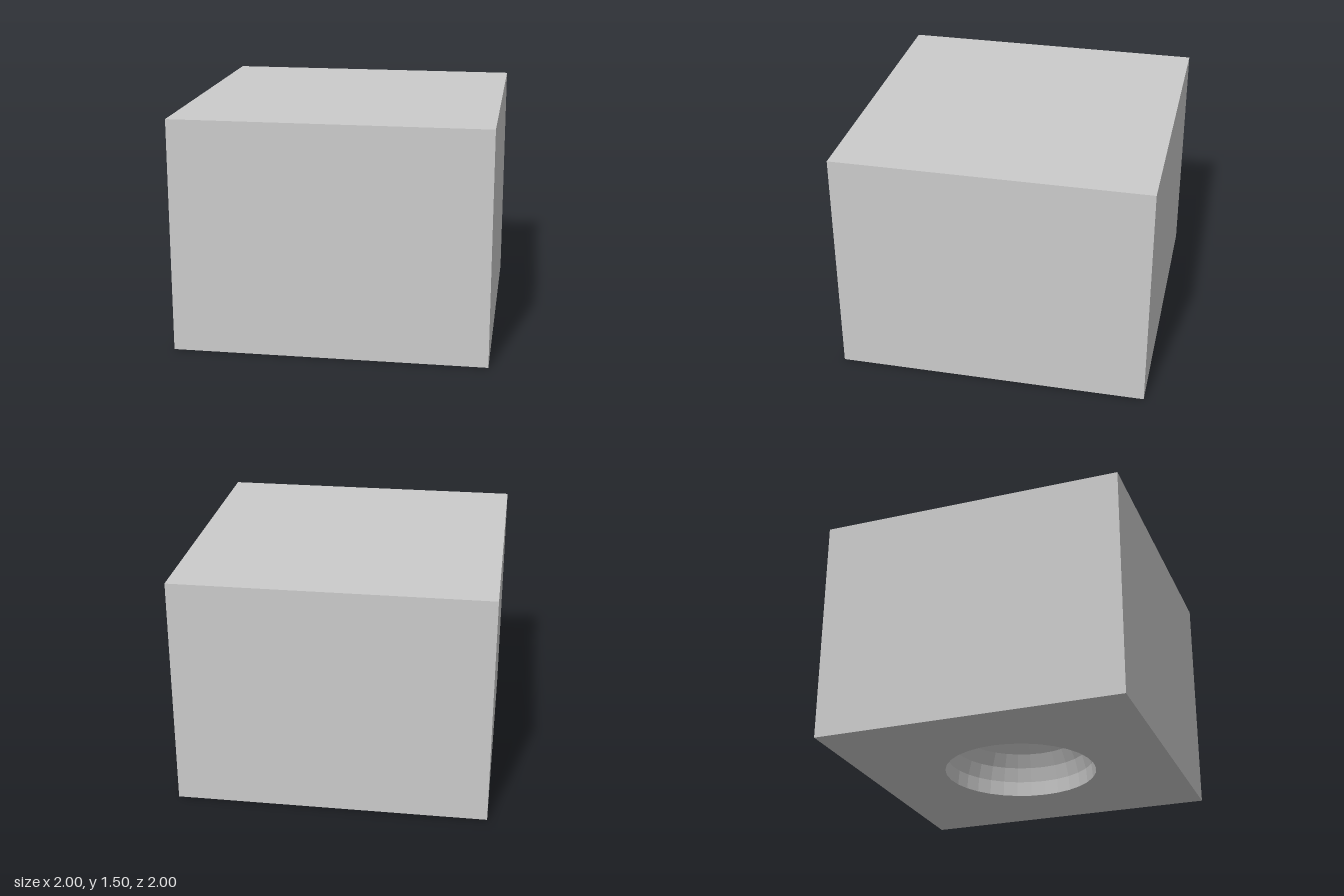
import * as THREE from 'three';

const WIDTH = 2, HEIGHT = 1.5, RADIUS = 0.5;
const SEGMENTS = 32, RINGS = 8;

export function createModel() {
  const model = new THREE.Group();
  model.name = 'blockWithDomedRecess';
  const material = new THREE.MeshStandardMaterial({ color: 0xcccccc, flatShading: true });
  const add = (name, geometry) => {
    const mesh = new THREE.Mesh(geometry, material);
    mesh.name = name;
    model.add(mesh);
  };

  // Block: top and four walls, with the bottom face left out
  const block = new THREE.BoxGeometry(WIDTH, HEIGHT, WIDTH).translate(0, HEIGHT / 2, 0);
  const index = Array.from(block.index.array);
  index.splice(18, 6);
  block.setIndex(index);
  block.clearGroups();
  add('block', block);

  // Underside: square with a round opening
  const h = WIDTH / 2;
  const square = new THREE.Shape([[-h, -h], [h, -h], [h, h], [-h, h]].map(p => new THREE.Vector2(...p)));
  const rim = [];
  for (let i = 0; i < SEGMENTS; i++) {
    const a = (i / SEGMENTS) * Math.PI * 2;
    rim.push(new THREE.Vector2(Math.cos(a) * RADIUS, Math.sin(a) * RADIUS));
  }
  square.holes.push(new THREE.Path(rim));
  add('underside', new THREE.ShapeGeometry(square).rotateX(Math.PI / 2));

  // Recess: hemisphere profile from crown down to rim, so faces point inward
  const profile = [];
  for (let i = 0; i <= RINGS; i++) {
    const a = (i / RINGS) * Math.PI / 2;
    profile.push(new THREE.Vector2(Math.sin(a) * RADIUS, Math.cos(a) * RADIUS));
  }
  add('domedRecess', new THREE.LatheGeometry(profile, SEGMENTS));

  return model;
}
